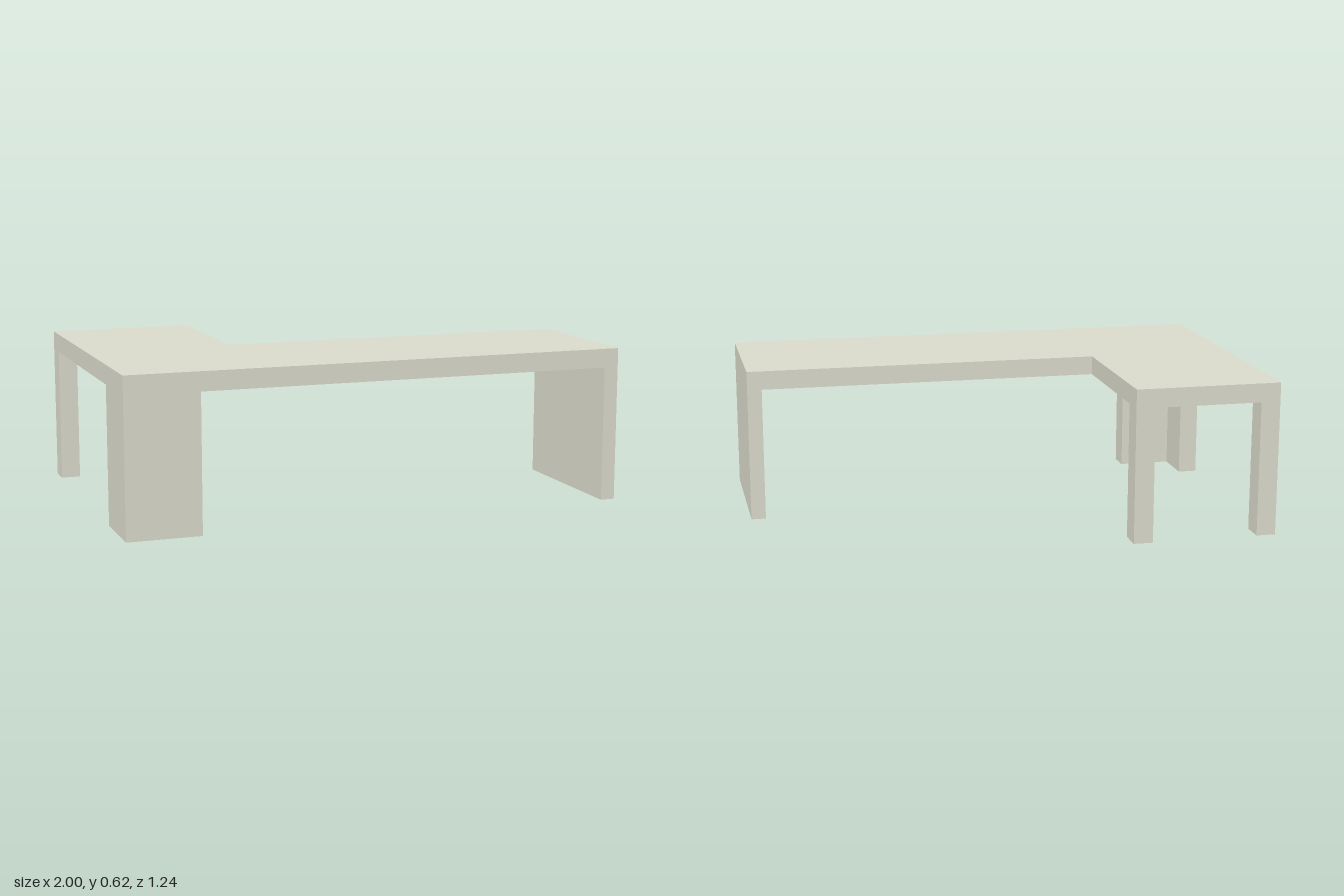
import * as THREE from 'three';

const TOP = 0.615, UNDER = 0.54;             // desk top and its underside
const FRONT = 0.622, INNER = 0.013, BACK = -0.622, RETURN_X = -0.42;
const LEG_X = 0.077, LEG_Z = 0.093;          // leg and bracket thickness

export function createModel() {
  const model = new THREE.Group();
  model.name = 'cornerDesk';
  const material = new THREE.MeshStandardMaterial({ color: 0xdadacc, flatShading: true });

  // Extrudes a floor plan of [x, z] points upward from y0 to y1
  function addPlan(name, points, y0, y1) {
    const shape = new THREE.Shape(points.map(([x, z]) => new THREE.Vector2(x, -z)));
    const geometry = new THREE.ExtrudeGeometry(shape, { depth: y1 - y0, bevelEnabled: false });
    geometry.rotateX(-Math.PI / 2).translate(0, y0, 0);
    const mesh = new THREE.Mesh(geometry, material);
    mesh.name = name;
    model.add(mesh);
  }
  const rect = (x0, x1, z0, z1) => [[x0, z1], [x1, z1], [x1, z0], [x0, z0]];

  // L-shaped desk top
  addPlan('deskTop', [[-1, FRONT], [1, FRONT], [1, INNER], [RETURN_X, INNER],
    [RETURN_X, BACK], [-1, BACK]], UNDER, TOP);

  // Full-depth panel at the far end
  addPlan('endPanel', rect(0.942, 1, INNER, FRONT), 0.005, UNDER);

  // L-shaped bracket leg under the outer corner
  addPlan('cornerLeg', [[-1, FRONT], [-0.71, FRONT], [-0.71, FRONT - LEG_Z],
    [-1 + LEG_X, FRONT - LEG_Z], [-1 + LEG_X, 0.35], [-1, 0.35]], 0, UNDER);

  // Two square legs at the back of the return
  addPlan('backLegOuter', rect(-1, -1 + LEG_X, BACK, BACK + LEG_Z), 0.002, UNDER);
  addPlan('backLegInner', rect(RETURN_X - LEG_X, RETURN_X, BACK, BACK + LEG_Z), 0.002, UNDER);

  return model;
}
